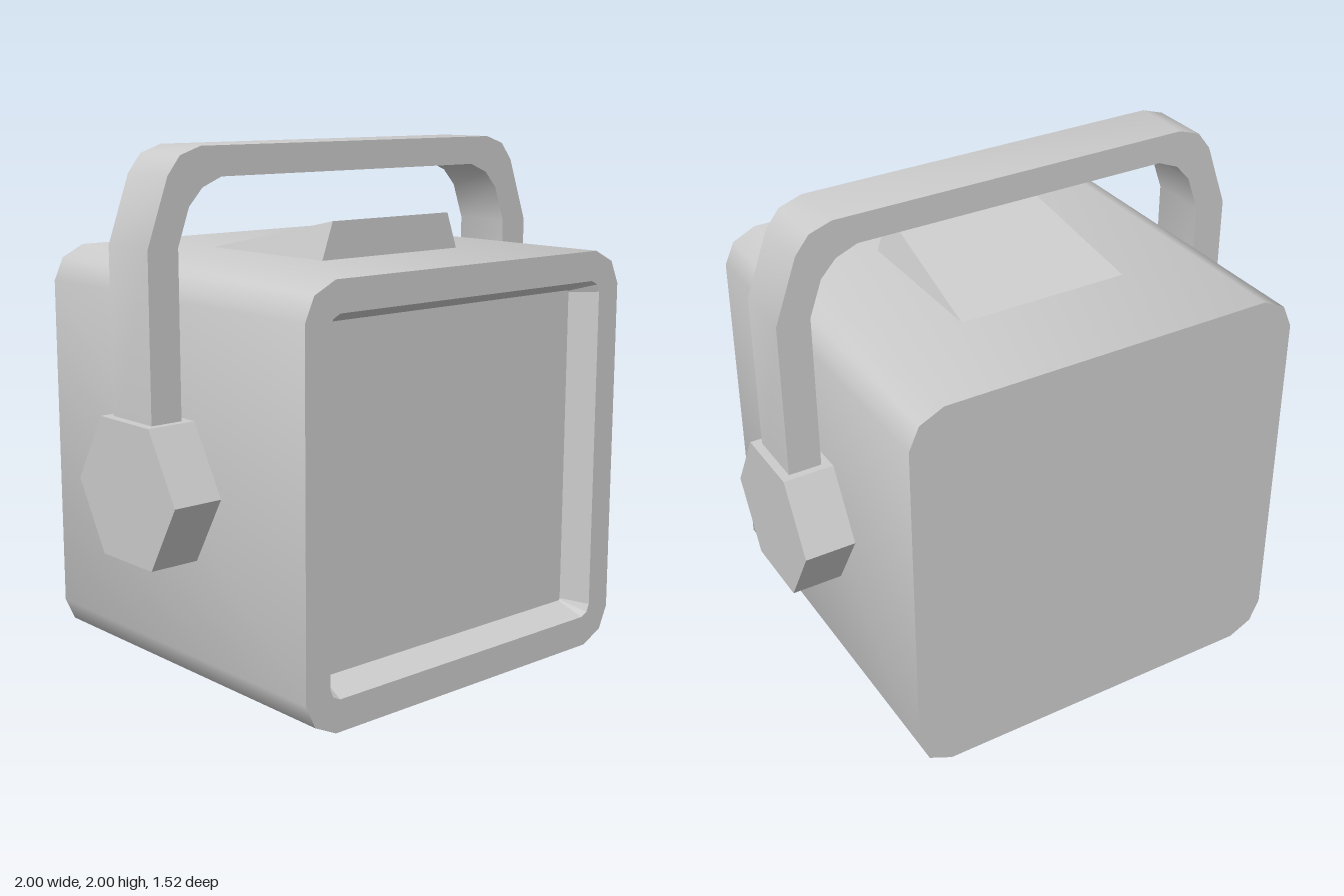
import * as THREE from 'three';
import { toCreasedNormals } from 'three/addons/utils/BufferGeometryUtils.js';

const material = new THREE.MeshStandardMaterial({ color: 0xcccccc });

function add(parent, name, geometry) {
  const mesh = new THREE.Mesh(geometry, material);
  mesh.name = name;
  parent.add(mesh);
  return mesh;
}

// Rectangle with bevelled corners at depth z, counter-clockwise from the front
function outline(halfW, y0, y1, z, r) {
  const mid = (y0 + y1) / 2, h = (y1 - y0) / 2;
  const corner = [[halfW, h - r], [halfW - 0.3 * r, h - 0.34 * r], [halfW - r, h]];
  const points = [];
  for (const [sx, sy] of [[1, 1], [-1, 1], [-1, -1], [1, -1]]) {
    const c = sx * sy > 0 ? corner : [...corner].reverse();
    for (const [x, y] of c) points.push(new THREE.Vector3(sx * x, mid + sy * y, z));
  }
  return points;
}

const centre = (y, z) => Array.from({ length: 12 }, () => new THREE.Vector3(0, y, z));

// Skin a chain of loops; loops collapsed to a point close the ends
function loft(loops, crease) {
  const pos = [];
  const tri = (a, b, c) => {
    if (a.equals(b) || b.equals(c) || c.equals(a)) return;
    for (const p of [a, b, c]) pos.push(p.x, p.y, p.z);
  };
  for (let k = 0; k + 1 < loops.length; k++) {
    const a = loops[k], b = loops[k + 1], n = a.length;
    for (let i = 0; i < n; i++) {
      const j = (i + 1) % n;
      tri(a[i], a[j], b[j]);
      tri(a[i], b[j], b[i]);
    }
  }
  const geometry = new THREE.BufferGeometry();
  geometry.setAttribute('position', new THREE.Float32BufferAttribute(pos, 3));
  return toCreasedNormals(geometry, crease);
}

// Wedge with a trapezoid front, sloping down to the rear
function wedgeGeometry() {
  const y = 1.585, top = 1.725, f = 0.325, b = -0.32;
  const geometry = new THREE.BufferGeometry();
  geometry.setAttribute('position', new THREE.Float32BufferAttribute([
    -0.345, y, f, 0.345, y, f, 0.295, top, f,
    -0.295, top, f, 0.345, y, b, -0.345, y, b,
  ], 3));
  geometry.setIndex([0, 1, 2, 0, 2, 3, 3, 2, 4, 3, 4, 5, 1, 4, 2, 0, 3, 5, 0, 5, 4, 0, 4, 1]);
  const flat = geometry.toNonIndexed();
  flat.computeVertexNormals();
  return flat;
}

// Carrying handle: an arch of even thickness with faceted corners
function handleGeometry() {
  const outer = [[0.965, 0.9], [0.965, 1.65], [0.875, 1.9], [0.82, 1.97], [0.73, 2]];
  const inner = [[0.835, 0.9], [0.835, 1.65], [0.785, 1.79], [0.725, 1.855], [0.64, 1.89]];
  const mirrored = (side) => side.map(([x, y]) => [-x, y]).reverse();
  const path = [...outer, ...mirrored(outer), ...inner.map(([x, y]) => [-x, y]), ...[...inner].reverse()];
  const shape = new THREE.Shape(path.map(([x, y]) => new THREE.Vector2(x, y)));
  const geometry = new THREE.ExtrudeGeometry(shape, { depth: 0.24, bevelEnabled: false });
  geometry.translate(0, 0, -0.12);
  return toCreasedNormals(geometry, 0.8);
}

export function createModel() {
  const model = new THREE.Group();
  model.name = 'lantern';

  // Housing with closed back and a front rim around the opening
  const opening = outline(0.69, 0.12, 1.47, 0.76, 0.045);
  add(model, 'housing', loft([
    centre(0.79, -0.76),
    outline(0.8, 0, 1.585, -0.76, 0.135),
    outline(0.8, 0, 1.585, 0.76, 0.135),
    opening,
  ], 0.8));

  // Tapered recess and its flat panel
  add(model, 'frontRecess', loft([
    opening,
    outline(0.64, 0.165, 1.425, 0.65, 0.008),
    centre(0.79, 0.65),
  ], 0.1));

  add(model, 'topWedge', wedgeGeometry());
  add(model, 'handle', handleGeometry());

  // Hexagonal hubs holding the handle ends
  for (const [side, name] of [[1, 'leftHub'], [-1, 'rightHub']]) {
    const geometry = new THREE.CylinderGeometry(0.3, 0.3, 0.24, 6).toNonIndexed();
    geometry.computeVertexNormals();
    geometry.rotateZ(Math.PI / 2);
    add(model, name, geometry).position.set(side * 0.88, 0.77, 0);
  }

  return model;
}
